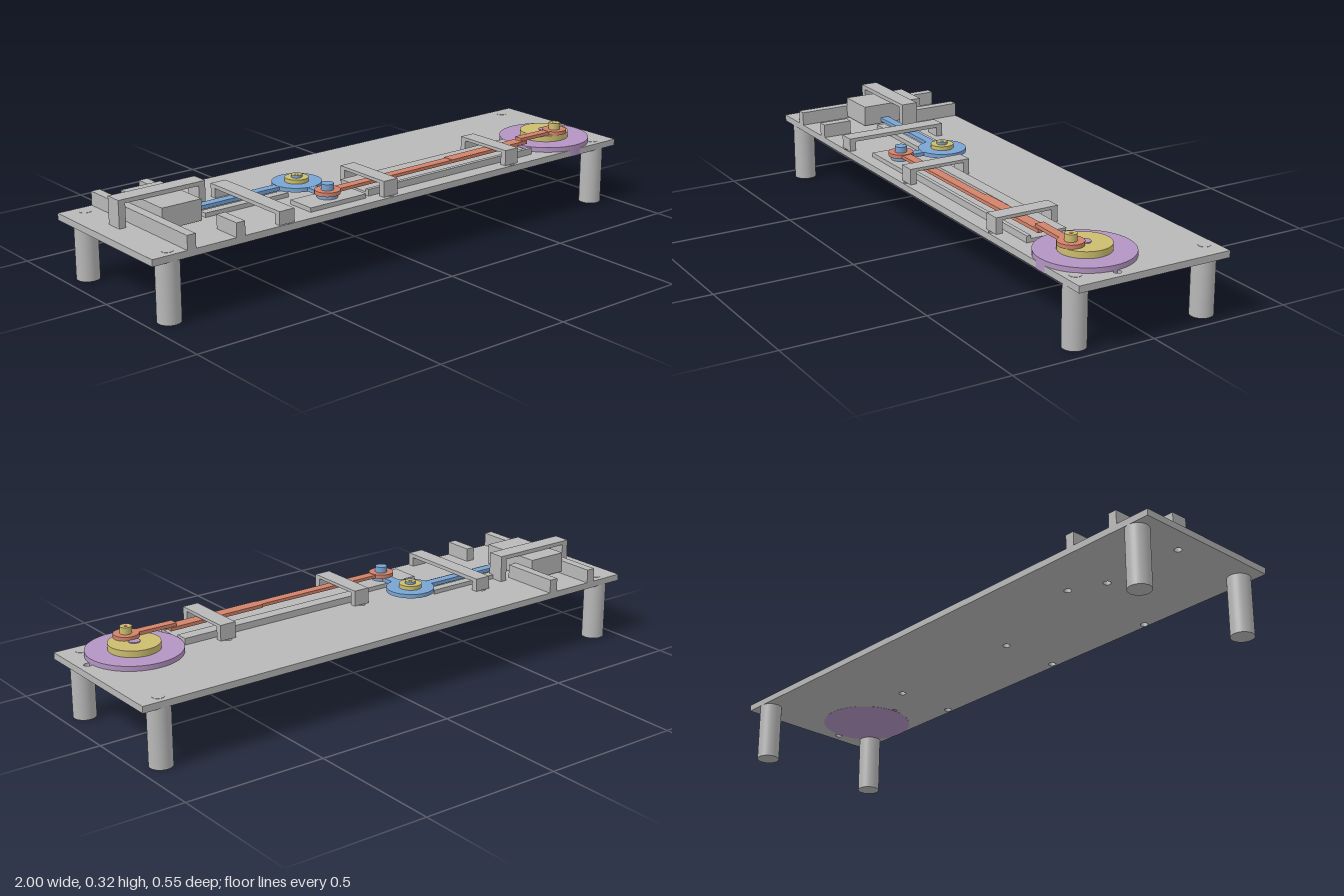
import * as THREE from 'three';

const material = (name, color, side = THREE.FrontSide) => {
  const m = new THREE.MeshStandardMaterial({ color, side });
  m.name = name;
  return m;
};

export function createModel() {
  const group = new THREE.Group();
  const grey = material('grey', 0xb8b8b8);
  const blue = material('blue', 0x7aa4d4);
  const red = material('terracotta', 0xd2826a);
  const gold = material('gold', 0xcbbd6e);
  const purple = material('purple', 0xb394c2);

  const add = (name, geometry, mat) => {
    const mesh = new THREE.Mesh(geometry, mat);
    mesh.name = name;
    group.add(mesh);
    return mesh;
  };
  // box given by its limits on each axis
  const box = (name, mat, x0, x1, y0, y1, z0, z1) => {
    const m = add(name, new THREE.BoxGeometry(x1 - x0, y1 - y0, z1 - z0), mat);
    m.position.set((x0 + x1) / 2, (y0 + y1) / 2, (z0 + z1) / 2);
    return m;
  };
  // upright cylinder given by its centre, radius and height limits
  const disc = (name, mat, x, z, r, y0, y1) => {
    const m = add(name, new THREE.CylinderGeometry(r, r, y1 - y0, 48), mat);
    m.position.set(x, (y0 + y1) / 2, z);
    return m;
  };
  // flat bar between two points in plan
  const bar = (name, mat, xa, za, xb, zb, width, y0, y1) => {
    const m = add(name, new THREE.BoxGeometry(Math.hypot(xb - xa, zb - za), y1 - y0, width), mat);
    m.position.set((xa + xb) / 2, (y0 + y1) / 2, (za + zb) / 2);
    m.rotation.y = -Math.atan2(zb - za, xb - xa);
  };

  const TOP = 0.228, BASE = 0.205;

  // base plate with bolt holes
  const plate = new THREE.Shape([[-1, -0.276], [1, -0.276], [1, 0.276], [-1, 0.276]]
    .map(([x, y]) => new THREE.Vector2(x, y)));
  const holes = [[0.965, 0.117], [0.636, 0.117], [-0.495, -0.102], [-0.495, 0.262],
    [-0.062, 0.036], [-0.062, 0.258], [0.49, 0.036], [0.49, 0.258],
    [-0.618, -0.048], [-0.918, -0.048]];
  for (const [x, z] of holes) {
    plate.holes.push(new THREE.Path().absarc(x, -z, 0.013, 0, Math.PI * 2, true));
  }
  const plateGeometry = new THREE.ExtrudeGeometry(plate,
    { depth: TOP - BASE, bevelEnabled: false, curveSegments: 12 });
  plateGeometry.rotateX(-Math.PI / 2).translate(0, BASE, 0);
  add('basePlate', plateGeometry, grey);

  // legs and their screw heads
  for (const sx of [-1, 1]) for (const sz of [-1, 1]) {
    disc('leg', grey, sx * 0.922, sz * 0.237, 0.039, 0, BASE);
    disc('legScrew', grey, sx * 0.922, sz * 0.237, 0.02, BASE, TOP + 0.001);
  }

  // bridge-shaped strap with two feet along z
  const strap = (name, x0, x1, z0, z1, top, thick) => {
    box(name, grey, x0, x1, top - thick, top, z0, z1);
    box(name + 'Foot', grey, x0, x1, TOP, top - thick, z0, z0 + 0.023);
    box(name + 'Foot', grey, x0, x1, TOP, top - thick, z1 - 0.023, z1);
  };
  strap('sliderStrap', -0.524, -0.465, -0.106, 0.27, 0.274, 0.013);
  strap('rodStrap', -0.091, -0.032, 0.034, 0.262, 0.283, 0.011);
  strap('rodStrap', 0.46, 0.519, 0.034, 0.262, 0.283, 0.011);

  // cross walls and sliding block at the right end
  box('endWall', grey, -0.874, -0.842, TOP, 0.276, -0.276, 0.276);
  box('innerWallBack', grey, -0.693, -0.66, TOP, 0.276, -0.276, -0.06);
  box('innerWallFront', grey, -0.693, -0.66, TOP, 0.276, 0.17, 0.276);
  box('slidingBlock', grey, -0.842, -0.695, 0.235, 0.307, -0.143, 0.092);

  // bridge over the sliding block
  box('bridgeBeam', grey, -0.93, -0.605, 0.308, 0.322, -0.079, -0.018);
  for (const x of [-0.93, -0.63]) {
    box('bridgePost', grey, x, x + 0.025, TOP, 0.308, -0.079, -0.018);
  }

  // guide rails
  box('pushRodGuideBack', grey, -0.66, -0.33, TOP, 0.243, -0.037, -0.006);
  box('pushRodGuideFront', grey, -0.66, -0.33, TOP, 0.243, 0.029, 0.06);
  box('jointPad', grey, -0.37, -0.14, TOP, 0.243, 0.123, 0.23);
  box('rodBed', grey, -0.122, 0.63, TOP, 0.24, 0.075, 0.22);
  box('rodBedBackRail', grey, -0.122, 0.63, 0.24, 0.251, 0.075, 0.12);
  box('rodBedFrontRail', grey, -0.122, 0.63, 0.24, 0.251, 0.205, 0.22);

  // blue bell crank: rod, disc, arm and pivot
  const cx = -0.259, cz = 0.011, jz = 0.176;
  box('pushRod', blue, -0.693, cx, 0.244, 0.257, -0.005, 0.027);
  disc('crankDisc', blue, cx, cz, 0.084, 0.244, 0.258);
  box('crankArm', blue, cx - 0.017, cx + 0.017, 0.2445, 0.2575, cz, jz);
  disc('crankArmEnd', blue, cx, jz, 0.035, 0.244, 0.256);
  disc('crankWasher', gold, cx, cz, 0.04, 0.258, 0.272);
  disc('crankPivot', blue, cx, cz, 0.019, 0.272, 0.279);
  disc('crankPivotCap', gold, cx, cz, 0.019, 0.279, 0.281);
  disc('crankPivotDot', blue, cx, cz, 0.007, 0.281, 0.282);
  disc('jointPin', blue, cx, jz, 0.021, 0.256, 0.291);

  // connecting rod with round ends
  const wx = 0.794, wz = 0.117, pz = 0.168;
  disc('rodJointEnd', red, cx, jz, 0.043, 0.256, 0.27);
  bar('connectingRod', red, cx, jz, 0.275, 0.173, 0.034, 0.257, 0.268);
  bar('connectingRodWide', red, 0.275, 0.17, 0.64, 0.165, 0.042, 0.257, 0.269);
  bar('rodUpperLink', red, 0.615, 0.165, wx, pz, 0.032, 0.268, 0.28);
  disc('rodWheelEnd', red, wx, pz, 0.043, 0.268, 0.281);

  // turning wheel with eccentric pin
  disc('wheel', purple, wx, wz, 0.161, 0.2045, 0.245);
  disc('wheelHub', gold, wx, wz, 0.0865, 0.245, 0.267);
  disc('wheelShaft', purple, wx, wz, 0.02, 0.245, 0.27);
  disc('eccentricPin', gold, wx, pz, 0.02, 0.267, 0.305);
  disc('eccentricPinDot', red, wx, pz, 0.007, 0.304, 0.306);

  return group;
}
